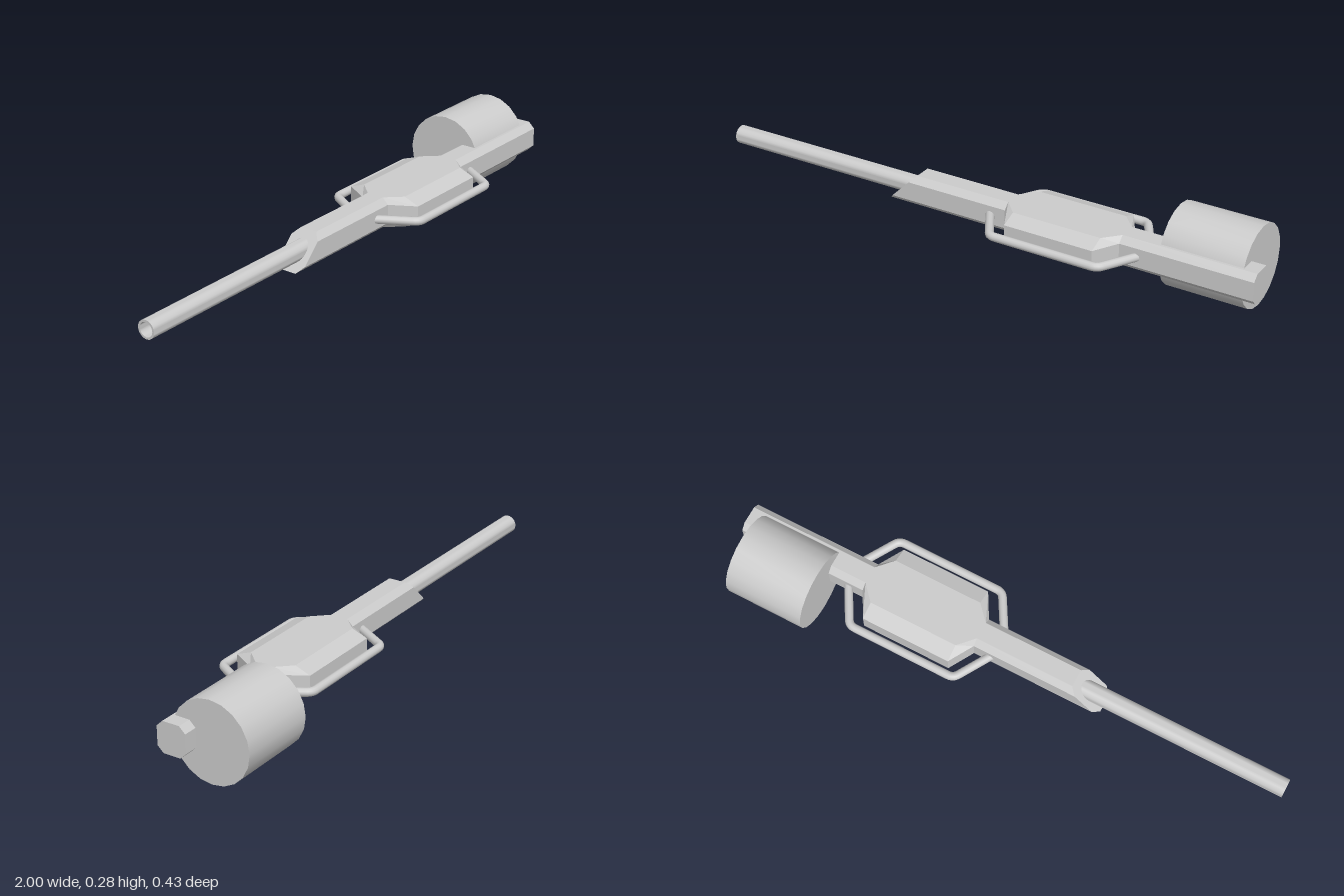
import * as THREE from 'three';
import { toCreasedNormals } from 'three/addons/utils/BufferGeometryUtils.js';

const CY = 0.142, CZ = 0.031; // long axis of the body

// Chamfered eight-sided ring: half width, half width of the top face, and x as a function of y
function ring(half, flat, xAt) {
  const h = 0.054, s = 0.033;
  const corners = [[h, -flat], [h, flat], [s, half], [-s, half], [-h, flat], [-h, -flat], [-s, -half], [s, -half]];
  return corners.map(([y, z]) => [xAt(y), y, z]);
}

// Skin a row of rings and cap both ends
function loft(rings) {
  const pos = [];
  const tri = (...points) => points.forEach((p) => pos.push(...p));
  const n = rings[0].length;
  for (let k = 0; k < rings.length - 1; k++) {
    const a = rings[k], b = rings[k + 1];
    for (let i = 0; i < n; i++) {
      const j = (i + 1) % n;
      tri(a[i], a[j], b[j]);
      tri(a[i], b[j], b[i]);
    }
  }
  const first = rings[0], last = rings[rings.length - 1];
  for (let i = 1; i < n - 1; i++) {
    tri(first[0], first[i + 1], first[i]);
    tri(last[0], last[i], last[i + 1]);
  }
  const g = new THREE.BufferGeometry();
  g.setAttribute('position', new THREE.Float32BufferAttribute(pos, 3));
  g.computeVertexNormals();
  return g;
}

export function createModel() {
  const model = new THREE.Group();
  model.name = 'barrelledDevice';
  const material = new THREE.MeshStandardMaterial({ color: 0xcccccc });
  const add = (name, geometry, x, y, z) => {
    const mesh = new THREE.Mesh(geometry, material);
    mesh.name = name;
    mesh.position.set(x, y, z);
    model.add(mesh);
    return mesh;
  };

  // Body: slanted nose, narrow shaft, wide middle, narrow tail
  const narrow = (x) => ring(0.053, 0.031, () => x);
  const wide = (x) => ring(0.14, 0.085, () => x);
  const nose = ring(0.053, 0.031, (y) => -0.292 + y);
  add('body', loft([nose, narrow(0.115), wide(0.165), wide(0.485), narrow(0.535), narrow(1)]), 0, CY, CZ);

  // Hollow barrel with its open end toward -x
  const profile = [[0.032, 0.2], [0.032, 1], [0.025, 1], [0.025, 0.3], [0, 0.3]];
  const tube = new THREE.LatheGeometry(profile.map(([r, y]) => new THREE.Vector2(r, y)), 24);
  tube.rotateZ(Math.PI / 2);
  add('barrel', toCreasedNormals(tube, 0.6), 0, CY, CZ);

  // Drum beside the tail
  const drum = new THREE.CylinderGeometry(0.141, 0.141, 0.285, 20);
  drum.rotateZ(Math.PI / 2);
  add('drum', toCreasedNormals(drum, 0.6), 0.808, CY, -0.076);

  // Side rails: bent rods with short rounded corners, mirrored front to back
  for (const side of [1, -1]) {
    const v = (x, z) => new THREE.Vector3(x, 0, side * z);
    const corners = [v(0.045, 0.03), v(0.129, 0.172), v(0.521, 0.172), v(0.605, 0.03)];
    const path = new THREE.CurvePath();
    let from = corners[0];
    for (let i = 1; i < 3; i++) {
      const c = corners[i];
      const into = c.clone().add(corners[i - 1].clone().sub(c).setLength(0.02));
      const out = c.clone().add(corners[i + 1].clone().sub(c).setLength(0.02));
      path.add(new THREE.LineCurve3(from, into));
      path.add(new THREE.QuadraticBezierCurve3(into, c, out));
      from = out;
    }
    path.add(new THREE.LineCurve3(from, corners[3]));
    add(side > 0 ? 'frontRail' : 'backRail', new THREE.TubeGeometry(path, 90, 0.0145, 12), 0, CY, CZ);
  }
  return model;
}
